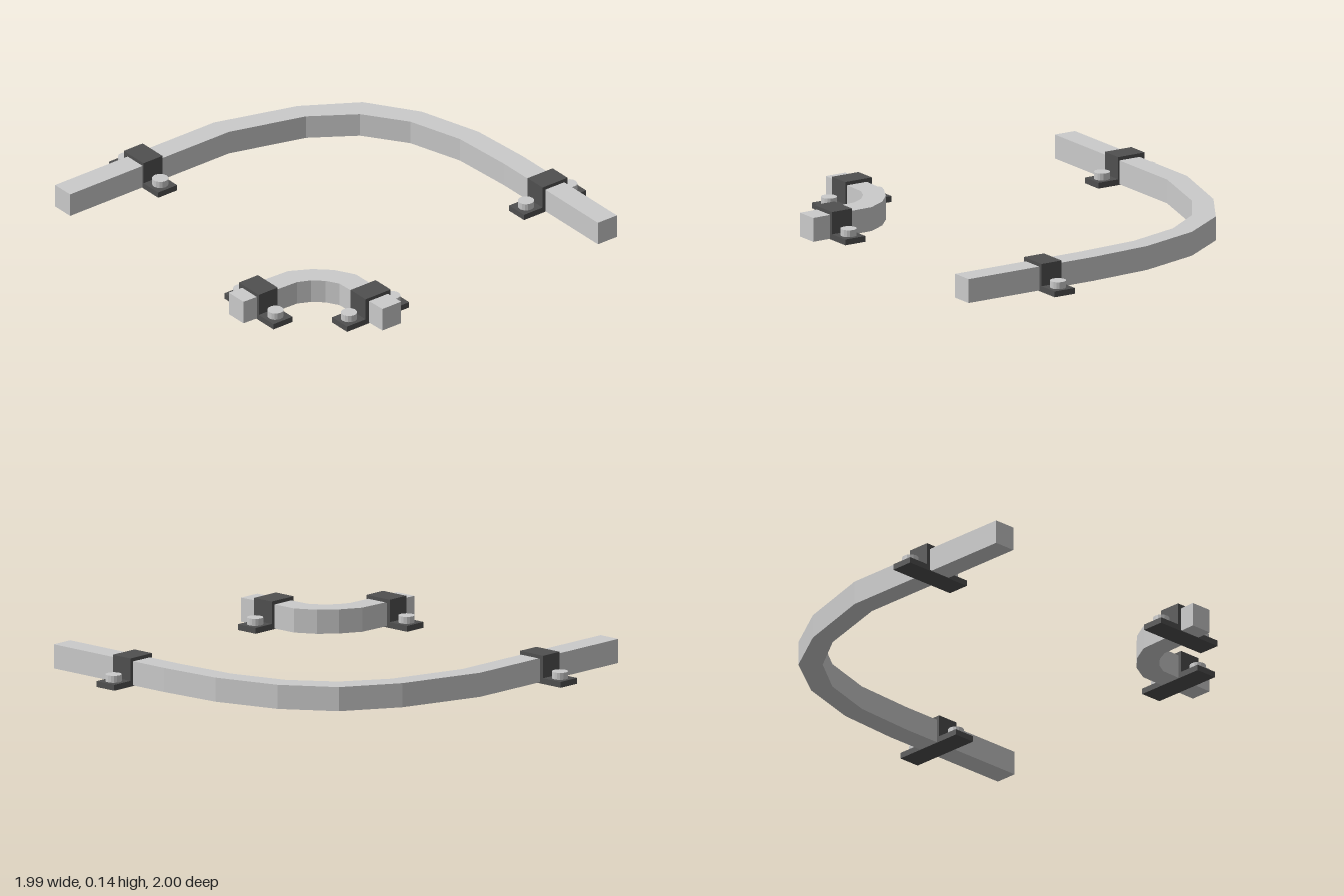
import * as THREE from 'three';

const steel = new THREE.MeshStandardMaterial({ color: 0xcccccc, flatShading: true });
const dark = new THREE.MeshStandardMaterial({ color: 0x505050, flatShading: true });

const toShape = (pts) => new THREE.Shape(pts.map(([x, y]) => new THREE.Vector2(x, y)));

// Square bar bent in the ground plane, from its outer and inner edges as [x, z]
function bar(name, outer, inner, bottom, top) {
  const geo = new THREE.ExtrudeGeometry(toShape([...outer, ...inner.slice().reverse()]), {
    depth: top - bottom, bevelEnabled: false,
  });
  geo.rotateX(Math.PI / 2).translate(0, top, 0);
  const mesh = new THREE.Mesh(geo, steel);
  mesh.name = name;
  return mesh;
}

// Hat-shaped bracket with a base strip under the bar and a bolt on each foot
function clamp(name, x, z, turn) {
  const group = new THREE.Group();
  group.name = name;
  const L = 0.184, w = 0.074, i = 0.055, foot = 0.028, top = 0.135, width = 0.112;
  const profile = toShape([[-L, 0], [L, 0], [L, foot], [w, foot], [w, top], [-w, top], [-w, foot], [-L, foot]]);
  profile.holes.push(new THREE.Path(
    [[-i, 0.004], [-i, 0.117], [i, 0.117], [i, 0.004]].map(([a, b]) => new THREE.Vector2(a, b))));
  const geo = new THREE.ExtrudeGeometry(profile, { depth: width, bevelEnabled: false });
  geo.translate(0, 0, -width / 2);
  const bracket = new THREE.Mesh(geo, dark);
  bracket.name = 'bracket';
  group.add(bracket);
  for (const s of [-1, 1]) {
    const bolt = new THREE.Mesh(new THREE.CylinderGeometry(0.038, 0.038, 0.034, 16), steel);
    bolt.name = 'bolt';
    bolt.position.set(s * 0.128, foot + 0.016, 0);
    group.add(bolt);
  }
  group.position.set(x, 0, z);
  group.rotation.y = turn;
  return group;
}

export function createModel() {
  const model = new THREE.Group();
  model.name = 'clampedBars';

  // Long bar with a wide bend
  model.add(bar('largeBar',
    [[-0.86, 1], [-0.86, 0.06], [-0.74, -0.34], [-0.58, -0.6], [-0.34, -0.76], [-0.03, -0.85], [0.28, -0.87], [0.98, -0.87]],
    [[-0.748, 1], [-0.748, 0.06], [-0.64, -0.31], [-0.5, -0.52], [-0.3, -0.66], [-0.03, -0.74], [0.28, -0.758], [0.98, -0.758]],
    0.003, 0.118));

  // Short bar with a tight bend
  model.add(bar('smallBar',
    [[0.427, 0.99], [0.44, 0.65], [0.495, 0.55], [0.565, 0.475], [0.66, 0.422], [0.99, 0.415]],
    [[0.537, 0.99], [0.547, 0.68], [0.575, 0.62], [0.62, 0.57], [0.68, 0.535], [0.99, 0.525]],
    0.003, 0.118));

  // Two clamps on each bar
  model.add(clamp('largeFrontClamp', -0.815, 0.515, 0));
  model.add(clamp('largeBackClamp', 0.53, -0.816, Math.PI / 2));
  model.add(clamp('smallFrontClamp', 0.48, 0.857, 0));
  model.add(clamp('smallSideClamp', 0.838, 0.475, Math.PI / 2));
  return model;
}
